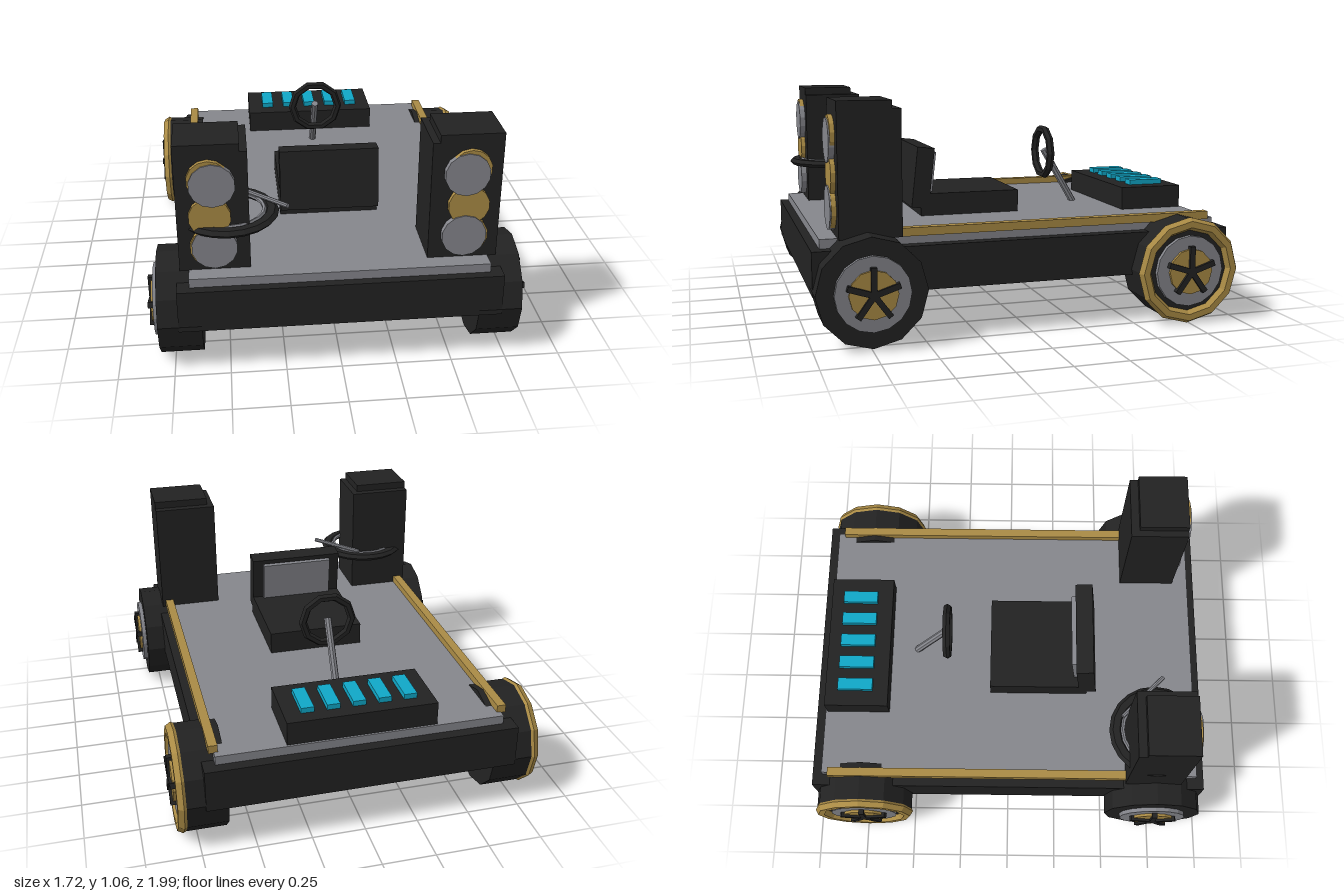
import * as THREE from 'three';

const mat = (name, color) => {
  const m = new THREE.MeshStandardMaterial({ color, flatShading: true });
  m.name = name;
  return m;
};

export function createModel() {
  const black = mat('black', 0x222222);
  const grey = mat('grey', 0x85868c);
  const gold = mat('gold', 0xaa8b45);
  const cyan = mat('cyan', 0x10a8c8);
  const root = new THREE.Group();
  root.name = 'buggy';

  const add = (name, geo, material, x, y, z, parent = root) => {
    const m = new THREE.Mesh(geo, material);
    m.name = name;
    m.position.set(x, y, z);
    parent.add(m);
    return m;
  };
  // box given by its minimum and maximum corners
  const box = (name, material, x0, x1, y0, y1, z0, z1, parent) =>
    add(name, new THREE.BoxGeometry(x1 - x0, y1 - y0, z1 - z0), material,
      (x0 + x1) / 2, (y0 + y1) / 2, (z0 + z1) / 2, parent);
  // round bar between two points
  const bar = (name, material, a, b, r) => {
    const d = b.clone().sub(a);
    const m = add(name, new THREE.CylinderGeometry(r, r, d.length(), 8), material, 0, 0, 0);
    m.position.copy(a).addScaledVector(d, 0.5);
    m.quaternion.setFromUnitVectors(new THREE.Vector3(0, 1, 0), d.normalize());
  };

  // chassis and deck
  box('chassis', black, -0.72, 0.72, 0.22, 0.42, -0.99, 0.99);
  box('deck', grey, -0.665, 0.665, 0.42, 0.462, -0.94, 0.95);

  // wheels, each built pointing along +x and turned to its side
  const makeWheel = (side, z, ringed) => {
    const g = new THREE.Group();
    g.name = (z > 0 ? 'front' : 'rear') + (side > 0 ? 'LeftWheel' : 'RightWheel');
    const disc = (name, material, r, x0, x1, n) => {
      const geo = new THREE.CylinderGeometry(r, r, x1 - x0, n).rotateZ(-Math.PI / 2);
      add(name, geo, material, (x0 + x1) / 2, 0, 0, g);
    };
    disc('tyre', black, 0.245, 0.617, 0.812, 12);
    disc('rim', grey, 0.167, 0.75, 0.832, 16);
    disc('hub', gold, 0.108, 0.8, 0.845, 12);
    for (let i = 0; i < 5; i++) {
      const a = (i * 2 * Math.PI) / 5;
      const s = add('spoke', new THREE.BoxGeometry(0.025, 0.12, 0.026), black,
        0.845, Math.cos(a) * 0.06, Math.sin(a) * 0.06, g);
      s.rotation.x = a;
    }
    if (ringed) {
      add('wheelRing', new THREE.TorusGeometry(0.222, 0.03, 6, 12).rotateY(Math.PI / 2),
        gold, 0.815, 0, 0, g);
    }
    g.position.set(0, 0.245, z);
    if (side < 0) g.rotation.y = Math.PI;
    root.add(g);
  };

  for (const s of [-1, 1]) {
    makeWheel(s, 0.746, false);
    makeWheel(s, -0.742, true);

    // side rail
    add('rail', new THREE.BoxGeometry(0.042, 0.038, 1.6), gold, s * 0.667, 0.477, -0.105);

    // speaker tower with three cones
    add('speakerBox', new THREE.BoxGeometry(0.312, 0.562, 0.28), black, s * 0.549, 0.741, 0.73);
    add('speakerCap', new THREE.BoxGeometry(0.28, 0.04, 0.24), black, s * 0.565, 1.038, 0.75);
    const cone = (name, m, r, x, y, z) =>
      add(name, new THREE.CylinderGeometry(r, r, 0.05, 14).rotateX(Math.PI / 2), m, s * x, y, z);
    for (const y of [0.9, 0.725, 0.58]) cone('coneRing', gold, 0.092, 0.562, y, 0.866);
    for (const y of [0.878, 0.58]) cone('coneDisc', grey, 0.1, 0.547, y, 0.872);
  }

  // record ring and its arm around the right speaker
  const ring = add('turntableRing', new THREE.TorusGeometry(0.195, 0.033, 6, 20).rotateX(Math.PI / 2),
    black, -0.485, 0.664, 0.723);
  ring.scale.y = 0.6;
  add('turntableInnerRing', new THREE.TorusGeometry(0.163, 0.01, 5, 20).rotateX(Math.PI / 2),
    grey, -0.485, 0.675, 0.723);
  bar('tonearm', grey, new THREE.Vector3(-0.42, 0.69, 0.56), new THREE.Vector3(-0.22, 0.7, 0.765), 0.011);

  // seat, facing the rear console
  box('seatBase', black, -0.235, 0.235, 0.46, 0.57, -0.095, 0.4);
  const back = new THREE.Group();
  back.name = 'seatBack';
  back.position.set(0, 0.648, 0.388);
  back.rotation.x = -0.11;
  root.add(back);
  add('backrest', new THREE.BoxGeometry(0.47, 0.295, 0.085), black, 0, 0, 0, back);
  add('backCushion', new THREE.BoxGeometry(0.36, 0.2, 0.024), grey, 0, 0.025, -0.053, back);

  // steering wheel on a slanted column
  bar('steeringColumn', grey, new THREE.Vector3(0, 0.46, -0.48), new THREE.Vector3(0, 0.74, -0.315), 0.018);
  add('steeringWheel', new THREE.TorusGeometry(0.122, 0.02, 6, 10), black, 0, 0.728, -0.31);

  // console with five keys
  box('console', black, -0.346, 0.346, 0.46, 0.573, -0.93, -0.612);
  for (let i = -2; i <= 2; i++) {
    const x = i * 0.119;
    box('key', cyan, x - 0.03, x + 0.03, 0.56, 0.598, -0.865, -0.69);
  }
  return root;
}
